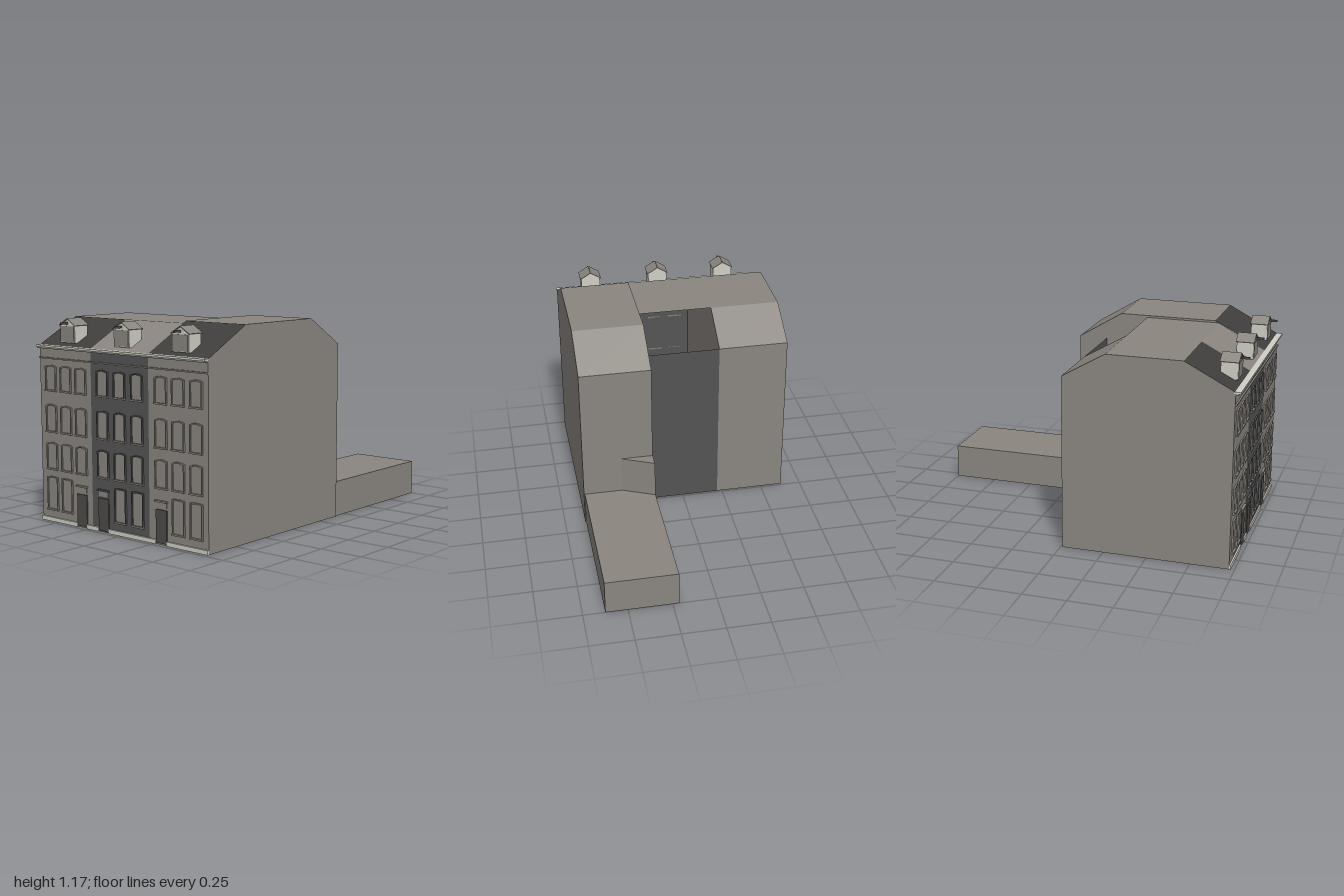
import * as THREE from 'three';

const flat = (name, color, side = THREE.DoubleSide) => {
  const m = new THREE.MeshStandardMaterial({ color, side });
  m.name = name;
  return m;
};

export function createModel() {
  const stone = flat('warm stone', 0x8a857f);
  const dark = flat('dark grey render', 0x545454);
  const slate = flat('dark slate', 0x403e3c);
  const cream = flat('cream trim', 0xcfcfc6);
  const door = flat('door grey', 0x4d4b49);
  const model = new THREE.Group();

  const add = (parent, name, geo, mat, x = 0, y = 0, z = 0) => {
    const m = new THREE.Mesh(geo, mat);
    m.name = name;
    m.position.set(x, y, z);
    parent.add(m);
    return m;
  };
  // box given by its extents
  const block = (parent, name, mat, x0, x1, y0, y1, z0, z1) =>
    add(parent, name, new THREE.BoxGeometry(x1 - x0, y1 - y0, z1 - z0), mat,
      (x0 + x1) / 2, (y0 + y1) / 2, (z0 + z1) / 2);
  const group = (name) => {
    const g = new THREE.Group();
    g.name = name;
    model.add(g);
    return g;
  };
  const FRONT = 0.97, EAVE = 1.01;

  // shell swept across x from a (z, y) profile, one colour per face; null leaves a face open
  function shell(g, x0, x1, profile, mats, caps) {
    const names = ['floor', 'backWall', 'backSlope', 'flatRoof', 'frontSlope', 'frontWall'];
    profile.forEach(([pz, py], i) => {
      if (!mats[i]) return;
      const [qz, qy] = profile[(i + 1) % profile.length];
      const geo = new THREE.BufferGeometry();
      geo.setAttribute('position', new THREE.Float32BufferAttribute(
        [x1, py, pz, x0, py, pz, x0, qy, qz, x1, qy, qz], 3));
      geo.setIndex([0, 1, 2, 0, 2, 3]);
      geo.computeVertexNormals();
      add(g, names[i], geo, mats[i]);
    });
    if (!caps) return;
    const shape = new THREE.Shape(profile.map(([z, y]) => new THREE.Vector2(-z, y)));
    for (const x of [x0, x1])
      add(g, 'sideWall', new THREE.ShapeGeometry(shape).rotateY(Math.PI / 2), stone, x);
  }

  // window outline with a shallow arched head
  function outline(Kind, w, h, rise) {
    const s = new Kind();
    s.moveTo(-w / 2, 0);
    s.lineTo(w / 2, 0);
    s.lineTo(w / 2, h - rise);
    s.quadraticCurveTo(0, h + rise, -w / 2, h - rise);
    s.closePath();
    return s;
  }
  function windowUnit(g, wall, x, y, w, h, rise) {
    const frame = outline(THREE.Shape, w + 0.014, h + 0.007, rise);
    frame.holes.push(outline(THREE.Path, w, h, rise));
    add(g, 'windowFrame', new THREE.ExtrudeGeometry(frame,
      { depth: 0.009, bevelEnabled: false, curveSegments: 4 }), wall, x, y, FRONT);
    add(g, 'windowPane', new THREE.ShapeGeometry(outline(THREE.Shape, w, h, rise), 4),
      stone, x, y, FRONT + 0.002);
    block(g, 'windowSill', stone, x - w / 2 - 0.008, x + w / 2 + 0.008, y - 0.009, y, FRONT, FRONT + 0.013);
  }

  // gabled dormer with a hoist beam
  function dormer(g, x) {
    const z0 = 0.855, z1 = 0.95, w = 0.058;
    block(g, 'dormerBody', cream, x - w, x + w, 1.03, 1.125, z0, z1);
    block(g, 'dormerWindow', stone, x - w + 0.005, x + w - 0.005, 1.035, 1.122, z1, z1 + 0.004);
    const gable = new THREE.Shape([[-w, 1.125], [w, 1.125], [0, 1.16]].map(p => new THREE.Vector2(...p)));
    add(g, 'dormerGable', new THREE.ExtrudeGeometry(gable, { depth: z1 - z0, bevelEnabled: false }),
      cream, x, 0, z0);
    for (const s of [-1, 1]) {
      const roof = add(g, 'dormerRoof', new THREE.BoxGeometry(0.074, 0.005, z1 - z0 + 0.01), stone,
        x + s * 0.032, 1.1445, (z0 + z1) / 2);
      roof.rotation.z = -s * Math.atan2(0.035, w);
    }
    block(g, 'hoistBeam', door, x - 0.004, x + 0.004, 1.133, 1.145, z1, 1);
  }

  const rows = [[0.075, 0.18, 0.003], [0.31, 0.143, 0.008], [0.525, 0.145, 0.008], [0.76, 0.133, 0.008]];
  const houses = [
    { name: 'rightHandHouse', x0: -0.63, x1: -0.22, back: 0.01, r0: 0.26, r1: 0.69, top: 1.155,
      wall: stone, front: slate, rear: stone, cols: [-0.54, -0.42, -0.3], doorX: -0.3, dormerX: -0.42 },
    { name: 'middleHouse', x0: -0.22, x1: 0.213, back: 0.01, r0: 0.26, r1: 0.69, top: 1.155,
      wall: dark, front: stone, rear: null, cols: [-0.13, 0, 0.13], doorX: -0.13, dormerX: 0 },
    { name: 'leftHandHouse', x0: 0.213, x1: 0.63, back: -0.16, r0: 0.1, r1: 0.67, top: 1.167,
      wall: stone, front: slate, rear: stone, cols: [0.303, 0.425, 0.55], doorX: 0.303, dormerX: 0.425 },
  ];

  for (const h of houses) {
    const g = group(h.name);
    shell(g, h.x0, h.x1,
      [[FRONT, 0], [h.back, 0], [h.back, EAVE], [h.r0, h.top], [h.r1, h.top], [FRONT, EAVE]],
      [h.wall, h.wall, h.rear, stone, h.front, h.wall], h.wall === stone);
    // window grid, leaving the doorway free
    for (const x of h.cols)
      rows.forEach(([y, height, rise], r) => {
        if (r > 0 || x !== h.doorX) windowUnit(g, h.wall, x, y, 0.073, height, rise);
      });
    // door, transom light and hood
    const d = h.doorX;
    block(g, 'door', door, d - 0.039, d + 0.039, 0.008, 0.19, FRONT, FRONT + 0.006);
    block(g, 'transom', stone, d - 0.036, d + 0.036, 0.2, 0.23, FRONT, FRONT + 0.004);
    block(g, 'doorHood', h.wall, d - 0.043, d + 0.043, 0.231, 0.24, FRONT, FRONT + 0.015);
    // plinth, either side of the door
    for (const [a, b] of [[h.x0, d - 0.04], [d + 0.04, h.x1]])
      block(g, 'plinth', cream, a, b, 0, 0.024, FRONT, FRONT + 0.009);
    // frieze moulding and cornice
    block(g, 'friezeMoulding', stone, h.x0, h.x1, 0.934, 0.942, FRONT, FRONT + 0.01);
    block(g, 'corniceBed', stone, h.x0, h.x1, 0.992, 1.001, FRONT, FRONT + 0.018);
    block(g, 'cornice', cream, h.x0, h.x1, 1.001, 1.012, FRONT - 0.01, 1);
    dormer(g, h.dormerX);
  }

  // low rear annex and the angled stair bay above it
  const annex = group('rearAnnex');
  block(annex, 'annexBlock', stone, 0.213, 0.625, 0, 0.205, -1, -0.16);
  const bay = new THREE.Shape([[0.213, 0.16], [0.4, 0.16], [0.213, 0.245]].map(p => new THREE.Vector2(...p)));
  add(annex, 'stairBay', new THREE.ExtrudeGeometry(bay, { depth: 0.225, bevelEnabled: false })
    .rotateX(-Math.PI / 2), stone, 0, 0.205, 0);
  return model;
}
